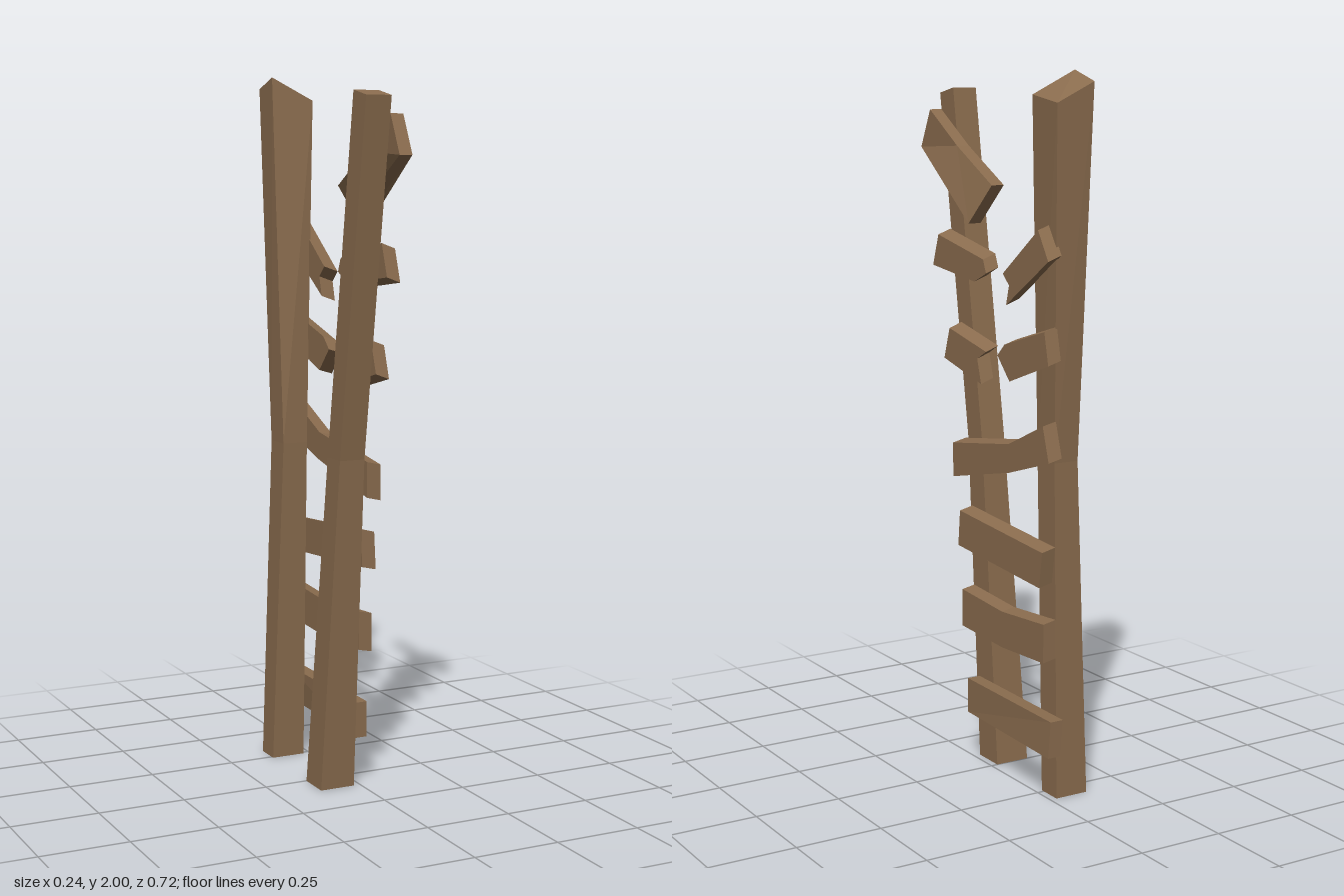
import * as THREE from 'three';

const wood = new THREE.MeshStandardMaterial({ color: 0x8a6c4e, flatShading: true });
wood.name = 'weathered wood';

// Post: a box with three rings; each ring lists corners as
// [-x -z], [+x -z], [-x +z], [+x +z]
function post(name, rings) {
  const g = new THREE.BoxGeometry(2, 2, 2, 1, 2, 1);
  const p = g.attributes.position;
  for (let i = 0; i < p.count; i++) {
    const ring = rings[Math.round(p.getY(i)) + 1];
    p.setXYZ(i, ...ring[(p.getX(i) > 0 ? 1 : 0) + (p.getZ(i) > 0 ? 2 : 0)]);
  }
  g.computeVertexNormals();
  const m = new THREE.Mesh(g, wood);
  m.name = name;
  return m;
}

// Level rectangular ring
const ring = (y, x0, x1, z0, z1) => [[x0, y, z0], [x1, y, z0], [x0, y, z1], [x1, y, z1]];

// Rung: side outline as [z, y] points, extruded across x;
// lean drops the outer face, offset(z, y) pushes parts of it sideways
function rung(name, outline, { x0 = -0.02, x1 = 0.02, lean = 0, offset = () => 0 } = {}) {
  const shape = new THREE.Shape(outline.map(([z, y]) => new THREE.Vector2(-z, y)));
  const g = new THREE.ExtrudeGeometry(shape, { depth: x1 - x0, bevelEnabled: false });
  g.rotateY(Math.PI / 2);
  g.translate(x0, 0, 0);
  const p = g.attributes.position;
  for (let i = 0; i < p.count; i++) {
    const x = p.getX(i), y = p.getY(i), z = p.getZ(i);
    const side = x > (x0 + x1) / 2 ? -0.5 : 0.5;
    p.setXYZ(i, x + offset(z, y), y + side * lean, z);
  }
  g.computeVertexNormals();
  const m = new THREE.Mesh(g, wood);
  m.name = name;
  return m;
}

export function createModel() {
  const model = new THREE.Group();
  model.name = 'brokenLadder';

  // Two bent posts
  model.add(post('frontPost', [
    ring(0, -0.123, -0.02, 0, 0.098),
    ring(0.95, -0.095, -0.02, 0.085, 0.162),
    [[-0.095, 1.95, 0.243], [-0.02, 1.95, 0.243], [-0.095, 1.935, 0.317], [-0.02, 1.935, 0.317]],
  ]));
  model.add(post('backPost', [
    ring(0, -0.12, -0.02, -0.315, -0.24),
    ring(0.95, -0.095, -0.02, -0.295, -0.21),
    [[-0.105, 1.97, -0.345], [0.005, 1.915, -0.337], [-0.11, 2, -0.245], [0, 1.935, -0.208]],
  ]));

  // Whole rungs, from the bottom up
  model.add(rung('rung1', [[0.1, 0.14], [-0.357, 0.14], [-0.357, 0.243], [0.1, 0.243]],
    { offset: (z, y) => (z < 0 ? (y < 0.2 ? 0.016 : 0.008) : 0) }));
  model.add(rung('rung2', [[0.13, 0.4], [-0.09, 0.39], [-0.305, 0.4], [-0.305, 0.51],
    [-0.09, 0.495], [0.13, 0.51]], { lean: 0.008 }));
  model.add(rung('rung3', [[0.15, 0.64], [-0.285, 0.61], [-0.3, 0.712], [0.14, 0.745]],
    { x1: 0.022, lean: 0.01 }));
  model.add(rung('rung4', [[0.178, 0.84], [-0.13, 0.905], [-0.33, 0.965], [-0.3, 1.062],
    [-0.125, 0.985], [0.178, 0.94]], { x1: 0.022, lean: 0.01 }));

  // Snapped rungs with jagged ends
  model.add(rung('rung5FrontStub', [[0.23, 1.185], [0.024, 1.135], [0.045, 1.205],
    [-0.003, 1.23], [0.2, 1.275]], { lean: 0.015 }));
  model.add(rung('rung5BackStub', [[-0.33, 1.23], [-0.135, 1.163], [-0.072, 1.228],
    [-0.108, 1.262], [-0.31, 1.32]], { x0: -0.015, x1: 0.025, lean: 0.012 }));
  model.add(rung('rung6FrontStub', [[0.293, 1.45], [0.06, 1.422], [-0.003, 1.45],
    [0.013, 1.488], [0.262, 1.54]], { lean: 0.015 }));
  model.add(rung('rung6BackStub', [[-0.335, 1.51], [-0.125, 1.375], [-0.14, 1.43],
    [-0.108, 1.46], [-0.285, 1.59]], { x0: -0.012, x1: 0.03, lean: 0.015 }));

  // Top rung, loose at the back and twisted outwards
  model.add(rung('topRung', [[0.362, 1.78], [0.198, 1.69], [-0.077, 1.59], [-0.145, 1.695],
    [0.14, 1.79], [0.31, 1.888]], {
    x1: 0.018,
    offset: (z, y) => (z < 0 ? (y < 1.65 ? 0.102 : 0.07) : z < 0.25 ? 0.01 : 0),
  }));

  return model;
}
